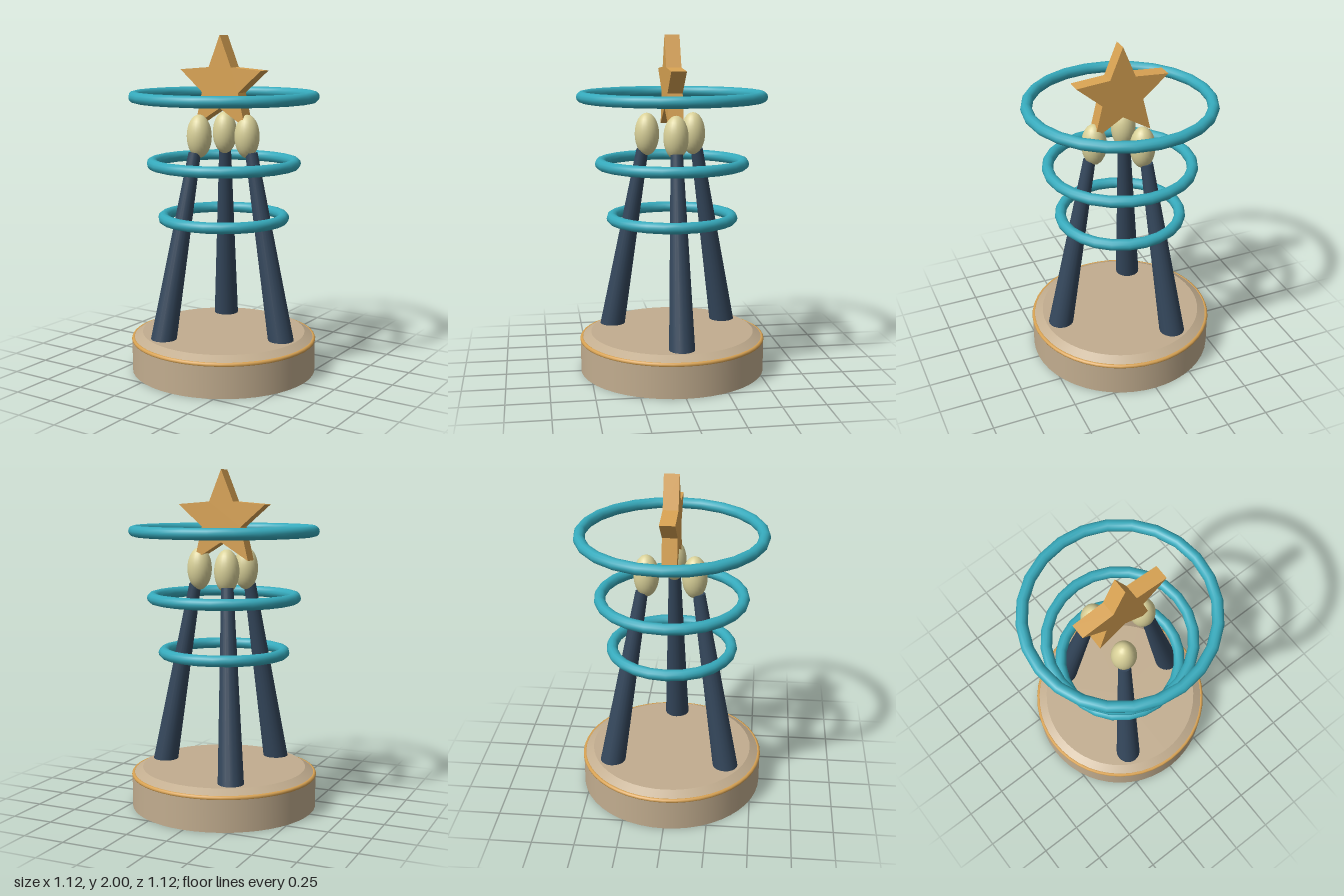
import * as THREE from 'three';

const mat = (name, color) => Object.assign(new THREE.MeshStandardMaterial({ color }), { name });

export function createModel() {
  const group = new THREE.Group();
  const stone = mat('stone', 0xc2ad8f);
  const gold = mat('gold', 0xd9a353);
  const navy = mat('navy', 0x34475c);
  const teal = mat('teal', 0x36aabc);
  const cream = mat('cream', 0xd9d199);

  const add = (name, geometry, material, x = 0, y = 0, z = 0) => {
    const mesh = new THREE.Mesh(geometry, material);
    mesh.name = name;
    mesh.position.set(x, y, z);
    group.add(mesh);
    return mesh;
  };
  const ring = (name, radius, tube, y, material, sides, segments) => {
    add(name, new THREE.TorusGeometry(radius, tube, sides, segments).rotateX(Math.PI / 2), material, 0, y, 0);
  };

  // Round base with a bevelled top and a gold trim
  add('base', new THREE.CylinderGeometry(0.553, 0.553, 0.2, 48), stone, 0, 0.1, 0);
  add('baseBevel', new THREE.CylinderGeometry(0.49, 0.55, 0.035, 48), stone, 0, 0.2175, 0);
  ring('baseTrim', 0.543, 0.013, 0.195, gold, 8, 48);

  // Three leaning legs, each topped by an egg-shaped pod
  const up = new THREE.Vector3(0, 1, 0);
  for (let i = 0; i < 3; i++) {
    const a = (i * Math.PI * 2) / 3;
    const c = Math.cos(a), s = Math.sin(a);
    const foot = new THREE.Vector3(0.407 * c, 0.18, 0.407 * s);
    const head = new THREE.Vector3(0.19 * c, 1.325, 0.19 * s);
    const axis = head.clone().sub(foot);
    const leg = add('leg', new THREE.CylinderGeometry(0.036, 0.077, axis.length(), 20), navy);
    leg.position.copy(foot).add(head).multiplyScalar(0.5);
    leg.quaternion.setFromUnitVectors(up, axis.normalize());

    const pod = new THREE.SphereGeometry(1, 24, 16).scale(0.073, 0.126, 0.073);
    add('pod', pod, cream, 0.16 * c, 1.42, 0.16 * s);
  }

  // Floating hoops, widening upwards
  for (const [radius, y] of [[0.357, 0.93], [0.422, 1.255], [0.526, 1.646]]) {
    ring('hoop', radius, 0.033, y, teal, 12, 24);
  }

  // Five-pointed star
  const star = new THREE.Shape();
  for (let i = 0; i < 10; i++) {
    const r = i % 2 ? 0.13 : 0.29;
    const a = Math.PI / 2 + (i * Math.PI) / 5;
    star[i ? 'lineTo' : 'moveTo'](r * Math.cos(a), r * Math.sin(a));
  }
  star.closePath();
  add('star', new THREE.ExtrudeGeometry(star, { depth: 0.088, bevelEnabled: false }), gold, 0, 1.71, -0.044);

  return group;
}
